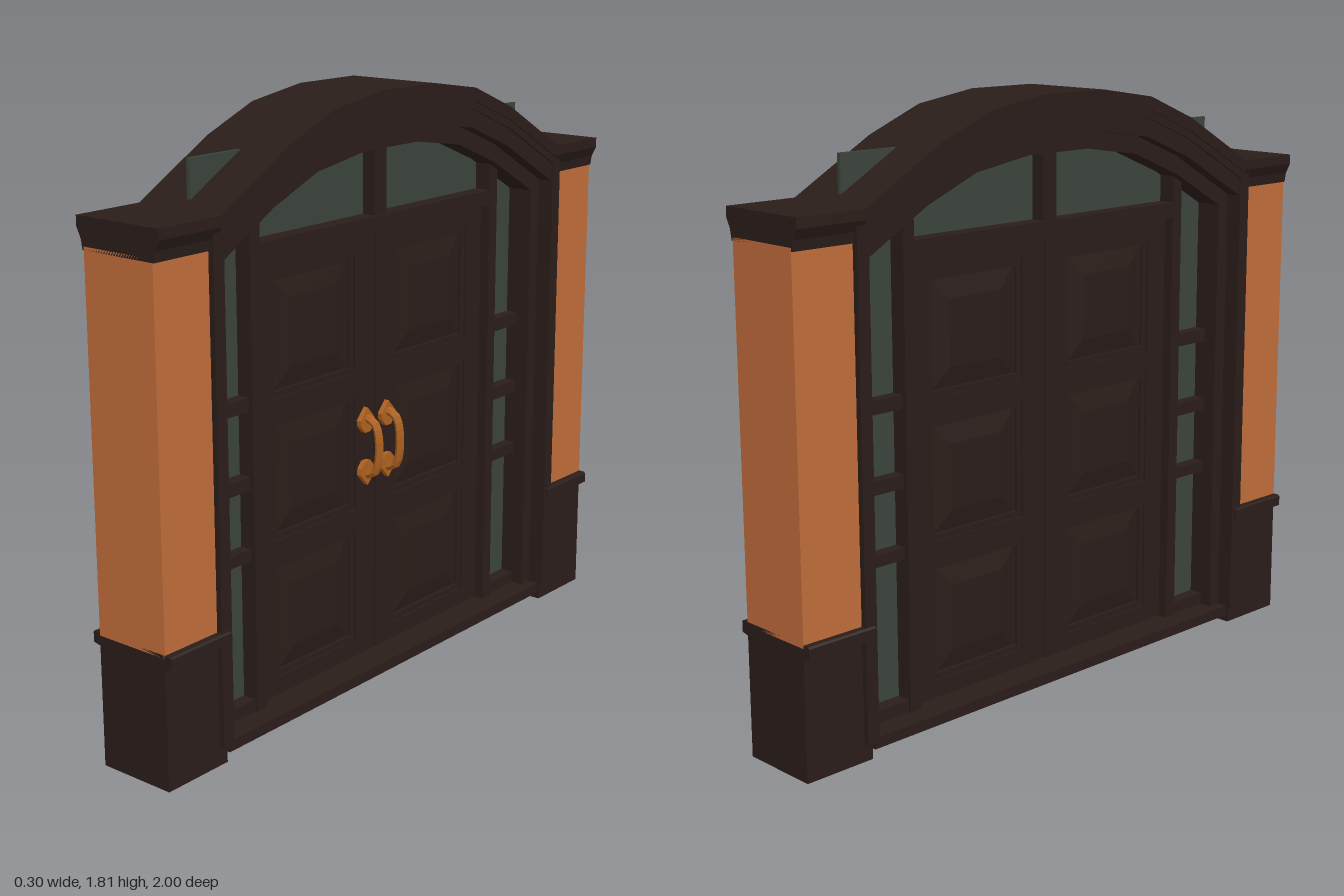
import * as THREE from 'three';

const mat = (color) => new THREE.MeshStandardMaterial({ color, flatShading: true });

export function createModel() {
  const root = new THREE.Group();
  const wood = mat(0x2a1d19), brick = mat(0xc06c3a), glass = mat(0x3b443c), brass = mat(0xb0621f);

  const add = (name, geo, material, parent = root) => {
    const mesh = new THREE.Mesh(geo, material);
    mesh.name = name;
    parent.add(mesh);
    return mesh;
  };
  // Box from z and y ranges, centred on x
  const slab = (name, z0, z1, y0, y1, halfX, material = wood, parent = root) => {
    const geo = new THREE.BoxGeometry(halfX * 2, y1 - y0, z1 - z0);
    geo.translate(0, (y0 + y1) / 2, (z0 + z1) / 2);
    return add(name, geo, material, parent);
  };
  const toShape = (pts) => new THREE.Shape(pts.map(([a, b]) => new THREE.Vector2(a, b)));
  // Extrude a (z, y) outline across x
  const across = (shape, halfX) => {
    const geo = new THREE.ExtrudeGeometry(shape, { depth: halfX * 2, bevelEnabled: false });
    return geo.translate(0, 0, -halfX).rotateY(-Math.PI / 2);
  };
  // Mirrored (x, y) profile swept along z
  const alongZ = (half, z0, z1) => {
    const pts = [...half, ...half.slice().reverse().map(([x, y]) => [-x, y])];
    return new THREE.ExtrudeGeometry(toShape(pts), { depth: z1 - z0, bevelEnabled: false }).translate(0, 0, z0);
  };

  // Arch: stacked bands following one faceted curve
  const curve = [[0.775, 1.55], [0.51, 1.7], [0.326, 1.775], [0.12, 1.807]];
  const arc = [...curve, ...curve.slice().reverse().map(([z, y]) => [-z, y])];
  const band = (name, top, bottom, halfX, end) => {
    const pts = arc.map(([z, y]) => Math.abs(z) > 0.7 ? [Math.sign(z) * end, y + (0.775 - end) * 0.566] : [z, y]);
    const outline = [...pts.map(([z, y]) => [z, y - top]), ...pts.slice().reverse().map(([z, y]) => [z, y - bottom])];
    add(name, across(toShape(outline), halfX), wood);
  };
  band('archCrown', 0, 0.04, 0.15, 0.775);
  band('archCove', 0.04, 0.065, 0.145, 0.775);
  band('archCasing', 0.065, 0.12, 0.138, 0.775);
  band('archInnerFrame', 0.12, 0.175, 0.09, 0.76);

  // Glazing, sill and transom
  slab('glassPane', -0.74, 0.74, 0.05, 1.68, 0.006, glass);
  slab('sill', -0.76, 0.76, 0.025, 0.058, 0.125);
  slab('transomBar', -0.57, 0.57, 1.385, 1.43, 0.06);
  slab('transomMullion', -0.027, 0.027, 1.43, 1.66, 0.05);

  for (const s of [1, -1]) {
    const zr = (a, b) => (s > 0 ? [a, b] : [-b, -a]);
    const side = new THREE.Group();
    side.name = s > 0 ? 'frontSide' : 'backSide';
    root.add(side);

    // Pillar with plinth and flared cap
    slab('pillarShaft', ...zr(0.795, 1), 0.39, 1.47, 0.125, brick, side);
    add('pillarPlinth', alongZ([[0.125, 0], [0.125, 0.36], [0.15, 0.365], [0.15, 0.395], [0.145, 0.4]], ...zr(0.77, 1)), wood, side);
    add('pillarCap', alongZ([[0.13, 1.46], [0.135, 1.49], [0.15, 1.52], [0.15, 1.55]], ...zr(0.77, 1)), wood, side);

    // Jambs, sidelight rails and posts
    slab('jamb', ...zr(0.76, 0.8), 0.053, 1.53, 0.143, wood, side);
    slab('innerJamb', ...zr(0.718, 0.765), 0.053, 1.43, 0.09, wood, side);
    slab('doorPost', ...zr(0.533, 0.572), 0.053, 1.53, 0.06, wood, side);
    slab('sidelightBottomRail', ...zr(0.57, 0.72), 0.053, 0.095, 0.05, wood, side);
    for (const [y0, y1] of [[0.52, 0.555], [0.73, 0.77], [0.96, 1.0]])
      slab('sidelightBar', ...zr(0.57, 0.72), y0, y1, 0.045, wood, side);

    // Door leaf with three raised panels
    const leaf = new THREE.Group();
    leaf.name = 'doorLeaf';
    side.add(leaf);
    const rect = (z0, z1, y0, y1) => [[z0, y0], [z1, y0], [z1, y1], [z0, y1]];
    const [d0, d1] = zr(0.006, 0.535);
    const stiles = toShape(rect(d0, d1, 0.058, 1.387));
    const [p0, p1] = zr(0.09, 0.457);
    for (const yc of [0.29, 0.717, 1.143]) {
      const y0 = yc - 0.179, y1 = yc + 0.179;
      stiles.holes.push(toShape(rect(p0, p1, y0, y1)));
      const moulding = toShape(rect(p0, p1, y0, y1));
      moulding.holes.push(toShape(rect(p0 + 0.018, p1 - 0.018, y0 + 0.018, y1 - 0.018)));
      add('panelMoulding', across(moulding, 0.02), wood, leaf);
      slab('panelBack', p0, p1, y0, y1, 0.01, wood, leaf);
      for (const f of [1, -1]) {
        const field = new THREE.CylinderGeometry(0.1 * Math.SQRT2, 0.163 * Math.SQRT2, 0.014, 4);
        field.rotateY(Math.PI / 4).rotateZ(-f * Math.PI / 2);
        field.translate(f * 0.016, yc, (p0 + p1) / 2);
        add('raisedField', field, wood, leaf);
      }
    }
    add('stilesAndRails', across(stiles, 0.027), wood, leaf);

    // Pull handle on the outer face
    const handle = new THREE.Group();
    handle.name = 'handle';
    handle.position.set(0.027, 0.73, s * 0.05);
    side.add(handle);
    for (const v of [1, -1]) {
      const plate = toShape([[0, 0.122], [0.033, 0.085], [0.03, 0.065], [0.012, 0.045], [-0.012, 0.045], [-0.03, 0.065], [-0.033, 0.085]].map(([z, y]) => [z * v, y * v]));
      add('handlePlate', across(plate, 0.008), brass, handle).position.x = 0.008;
    }
    const path = new THREE.CatmullRomCurve3([[0.01, 0.09], [0.045, 0.075], [0.06, 0], [0.045, -0.075], [0.01, -0.09]]
      .map(([x, y]) => new THREE.Vector3(x, y, 0)));
    add('handleGrip', new THREE.TubeGeometry(path, 12, 0.013, 6), brass, handle);
  }

  // Closing strip between the leaves
  slab('meetingStrip', -0.007, 0.007, 0.058, 1.387, 0.02);
  return root;
}
